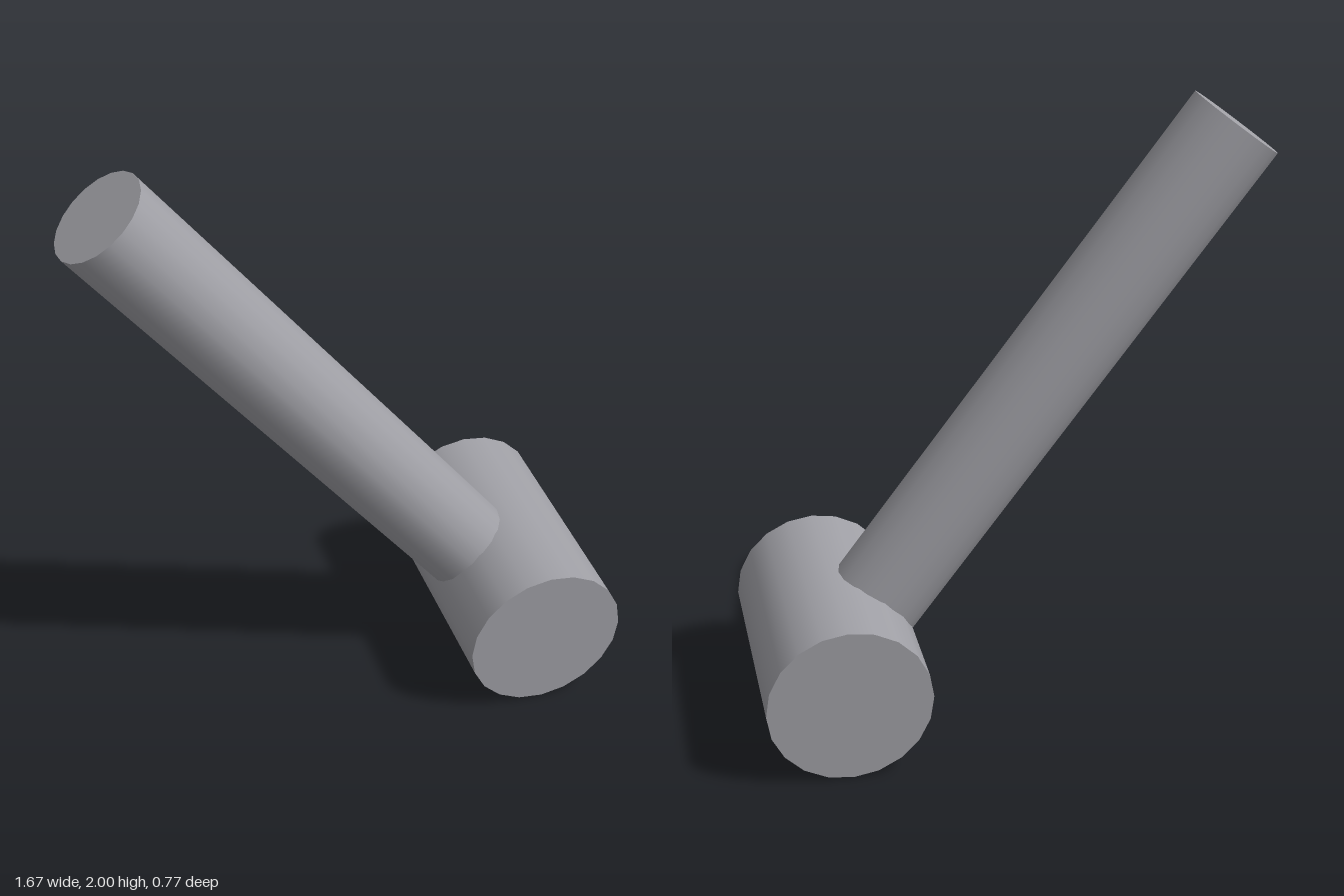
import * as THREE from 'three';

export function createModel() {
  const group = new THREE.Group();
  const grey = new THREE.MeshStandardMaterial({ color: 0xa0a0a6 });
  grey.name = 'grey';

  // Drum-shaped head lying along z
  const head = new THREE.Mesh(new THREE.CylinderGeometry(0.26, 0.26, 0.77, 20), grey);
  head.name = 'head';
  head.rotation.x = Math.PI / 2;
  head.position.set(0.577, 0.26, 0);
  group.add(head);

  // Slanted handle, its lower end buried in the head
  const top = new THREE.Vector3(-0.713, 1.905, 0);
  const bottom = new THREE.Vector3(0.501, 0.315, 0);
  const axis = top.clone().sub(bottom);
  const handle = new THREE.Mesh(new THREE.CylinderGeometry(0.157, 0.157, axis.length(), 20), grey);
  handle.name = 'handle';
  handle.position.copy(top).add(bottom).multiplyScalar(0.5);
  handle.quaternion.setFromUnitVectors(new THREE.Vector3(0, 1, 0), axis.normalize());
  group.add(handle);

  return group;
}
